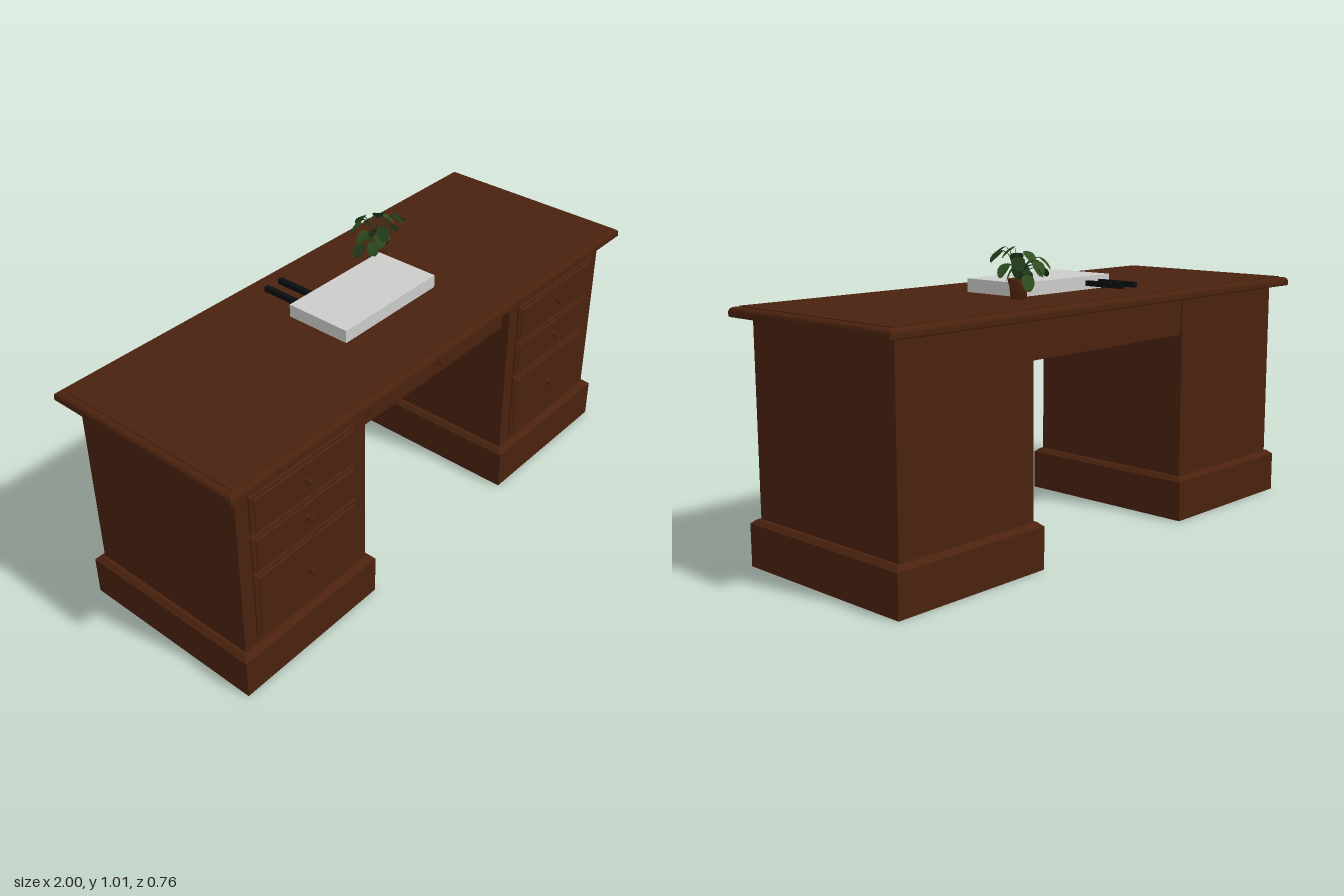
import * as THREE from 'three';

const mat = (name, color, side = THREE.FrontSide) => {
  const m = new THREE.MeshStandardMaterial({ color, side });
  m.name = name;
  return m;
};

// Stack of centred rectangles [halfX, halfZ, y], closed at both ends
function rectLoft(rings) {
  const pts = rings.map(([x, z, y]) => [[x, y, z], [x, y, -z], [-x, y, -z], [-x, y, z]]);
  const pos = [];
  const quad = (a, b, c, d) => pos.push(...a, ...b, ...c, ...a, ...c, ...d);
  for (let r = 0; r < pts.length - 1; r++) {
    for (let i = 0; i < 4; i++) {
      const j = (i + 1) % 4;
      quad(pts[r][i], pts[r][j], pts[r + 1][j], pts[r + 1][i]);
    }
  }
  quad(...pts[pts.length - 1]);
  quad(...[...pts[0]].reverse());
  const g = new THREE.BufferGeometry();
  g.setAttribute('position', new THREE.Float32BufferAttribute(pos, 3));
  g.computeVertexNormals();
  return g;
}

const lathe = (pts, n) => new THREE.LatheGeometry(pts.map(p => new THREE.Vector2(...p)), n);

export function createModel() {
  const root = new THREE.Group();
  root.name = 'desk';
  const wood = mat('dark wood', 0x4a220e);
  const paper = mat('light grey', 0xcbcbc9);
  const black = mat('black', 0x0b0d0f);
  const clay = mat('clay', 0x56280f);
  const soil = mat('soil', 0x1c120b);
  const leafGreen = mat('leaf green', 0x2f4f20, THREE.DoubleSide);
  const darkGreen = mat('dark green', 0x20381a, THREE.DoubleSide);

  const add = (name, geo, material, x = 0, y = 0, z = 0, parent = root) => {
    const m = new THREE.Mesh(geo, material);
    m.name = name;
    m.position.set(x, y, z);
    parent.add(m);
    return m;
  };
  const box = (name, material, x0, x1, y0, y1, z0, z1) =>
    add(name, new THREE.BoxGeometry(x1 - x0, y1 - y0, z1 - z0), material,
      (x0 + x1) / 2, (y0 + y1) / 2, (z0 + z1) / 2);

  // Desktop with a rounded, stepped edge
  add('desktop', rectLoft([
    [0.997, 0.377, 0.805], [1, 0.38, 0.808], [1, 0.38, 0.823], [0.997, 0.377, 0.831],
    [0.99, 0.37, 0.836], [0.975, 0.355, 0.837], [0.975, 0.355, 0.84],
  ]), wood);

  // Drawer front with raised panel and turned knob
  const knobGeo = lathe([[0.012, 0], [0.012, 0.002], [0.005, 0.004], [0.005, 0.01],
    [0.011, 0.013], [0.013, 0.017], [0.01, 0.021], [0, 0.023]], 16).rotateX(Math.PI / 2);
  const drawer = (x, y0, y1, z, halfW, inset) => {
    const h = (y1 - y0) / 2, y = (y0 + y1) / 2;
    const g = rectLoft([[halfW, h, -0.005], [halfW, h, 0.005], [halfW - 0.004, h - 0.004, 0.008],
      [halfW - inset + 0.004, h - inset + 0.004, 0.008], [halfW - inset, h - inset, 0.013]]);
    add('drawerFront', g.rotateX(Math.PI / 2), wood, x, y, z);
    add('drawerKnob', knobGeo, wood, x, y, z + 0.013);
  };

  // Pedestals, each with a plinth and three drawers
  const plinthGeo = rectLoft([[0.305, 0.355, 0], [0.305, 0.355, 0.143], [0.3, 0.35, 0.147],
    [0.29, 0.338, 0.157], [0.28, 0.33, 0.158]]);
  for (const s of [-1, 1]) {
    const cx = s * 0.665;
    add('plinth', plinthGeo, wood, cx, 0, 0);
    box('pedestal', wood, cx - 0.28, cx + 0.28, 0.15, 0.806, -0.332, 0.33);
    for (const [a, b] of [[0.605, 0.745], [0.46, 0.593], [0.178, 0.445]]) {
      drawer(cx, a, b, 0.33, 0.23, 0.016);
    }
  }

  // Centre drawer box
  box('centreDrawerBox', wood, -0.385, 0.385, 0.672, 0.806, -0.325, 0.3);
  drawer(0, 0.684, 0.796, 0.3, 0.36, 0.024);

  // Block on the desktop with two rods behind it
  box('paperStack', paper, -0.23, 0.226, 0.84, 0.886, -0.125, 0.12);
  for (const x of [-0.177, -0.11]) box('rod', black, x - 0.009, x + 0.009, 0.853, 0.871, -0.284, -0.124);

  // Potted plant
  const plant = new THREE.Group();
  plant.name = 'pottedPlant';
  plant.position.set(0.257, 0.84, -0.148);
  root.add(plant);
  add('pot', lathe([[0, 0], [0.026, 0], [0.031, 0.05], [0.034, 0.05], [0.035, 0.065],
    [0.031, 0.065], [0.03, 0.058]], 20), clay, 0, 0, 0, plant);
  add('soil', new THREE.CylinderGeometry(0.031, 0.031, 0.004, 20), soil, 0, 0.057, 0, plant);

  // Leaf: an oval pointed at the tip, drooping away from its base at the origin
  const leafGeo = new THREE.CircleGeometry(1, 14).rotateX(-Math.PI / 2);
  const p = leafGeo.attributes.position;
  for (let i = 0; i < p.count; i++) {
    const u = (p.getZ(i) + 1) / 2, x = p.getX(i);
    p.setXYZ(i, x * 0.023 * (1.15 - 0.35 * u), -0.012 * u * u + 0.004 * Math.abs(x), u * 0.056);
  }
  leafGeo.computeVertexNormals();

  // Leaf centres [x, y, z, downward tilt], relative to the pot
  const leaves = [
    [-0.12, 0.085, 0.005, 0.5], [-0.05, 0.12, -0.07, 0.6], [0.023, 0.11, -0.11, 0.8],
    [0.07, 0.125, -0.065, 0.6], [0.07, 0.1, 0.0, 0.7], [0.025, 0.155, 0.02, 0.5],
    [-0.035, 0.13, 0.042, 0.6], [-0.075, 0.11, -0.018, 0.6], [0.0, 0.14, -0.05, 0.6],
    [0.045, 0.155, 0.045, 0.5], [-0.02, 0.09, 0.02, 0.9], [0.03, 0.06, -0.07, 1.0],
    [0.075, 0.145, 0.025, 0.5], [-0.06, 0.07, 0.02, 0.9], [0.02, 0.085, 0.02, 0.9],
    [0.0, 0.1, -0.025, 0.8],
  ];
  leaves.forEach(([x, y, z, tilt], i) => {
    const yaw = Math.atan2(x, z);
    const back = 0.026;
    const base = new THREE.Vector3(x - Math.sin(yaw) * back * Math.cos(tilt),
      y + back * Math.sin(tilt), z - Math.cos(yaw) * back * Math.cos(tilt));
    const leaf = add('leaf', leafGeo, i % 3 ? leafGreen : darkGreen, base.x, base.y, base.z, plant);
    leaf.rotation.set(tilt, yaw, 0, 'YXZ');
    const stem = new THREE.QuadraticBezierCurve3(new THREE.Vector3(x * 0.1, 0.056, z * 0.1),
      new THREE.Vector3(x * 0.3, base.y, z * 0.3), base);
    add('stem', new THREE.TubeGeometry(stem, 6, 0.0014, 5), darkGreen, 0, 0, 0, plant);
  });

  // Long trailing shoot at the back
  const shoot = new THREE.QuadraticBezierCurve3(new THREE.Vector3(0, 0.056, 0),
    new THREE.Vector3(0.02, 0.16, -0.07), new THREE.Vector3(0.03, 0.08, -0.134));
  add('shoot', new THREE.TubeGeometry(shoot, 10, 0.002, 5), darkGreen, 0, 0, 0, plant);
  return root;
}
